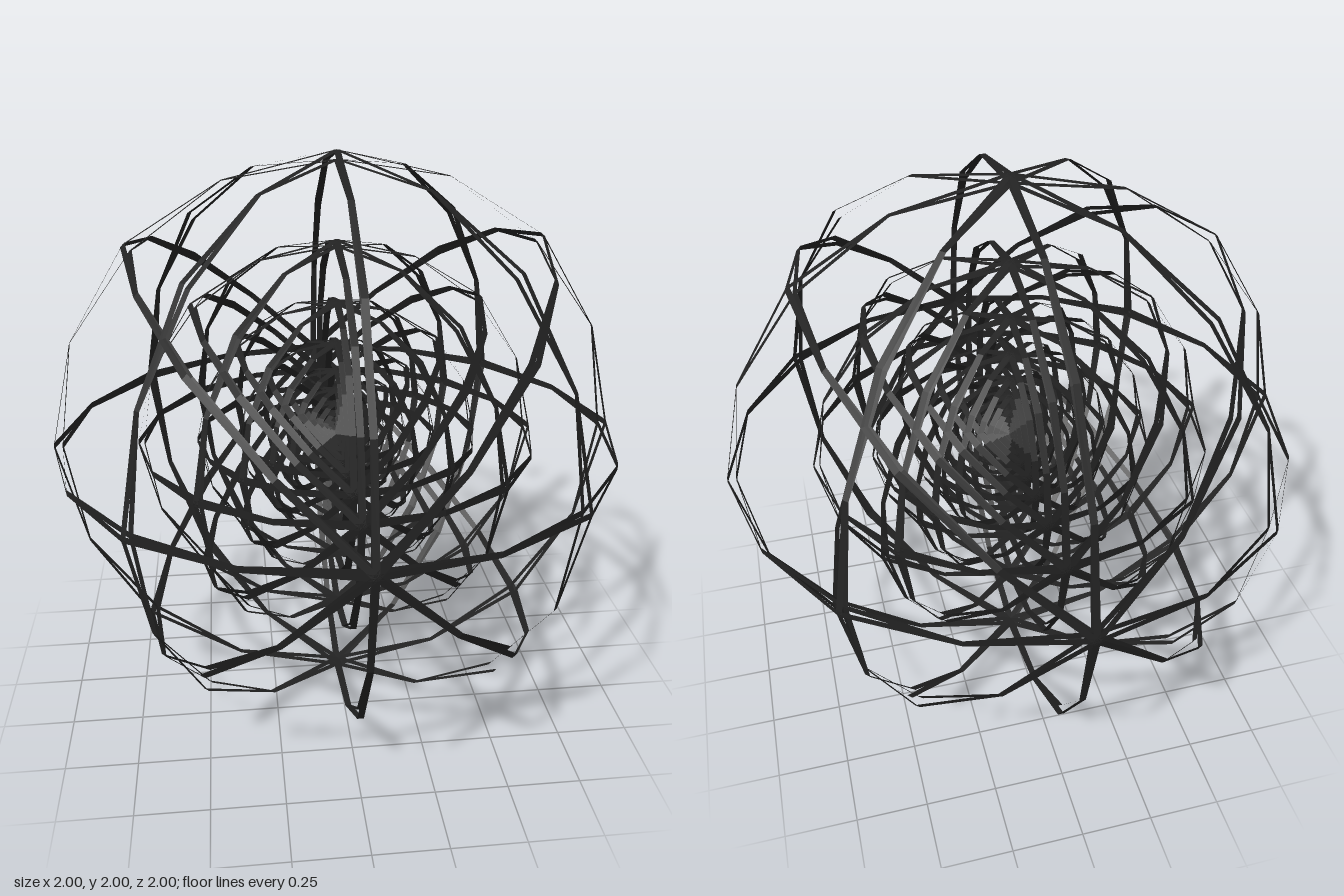
import * as THREE from 'three';

const SIDES = 16;
const WIDTH = 0.022;
const LEVELS = 12;

const material = new THREE.MeshStandardMaterial({
  color: 0x222222, flatShading: true, side: THREE.DoubleSide,
});

// Open hoop around y whose corners alternate between two radii
function hoop(evenRadius, oddRadius) {
  const geo = new THREE.CylinderGeometry(1, 1, WIDTH, SIDES, 1, true);
  const pos = geo.attributes.position;
  for (let i = 0; i < pos.count; i++) {
    const r = (i % (SIDES + 1)) % 2 ? oddRadius : evenRadius;
    pos.setXYZ(i, pos.getX(i) * r, pos.getY(i), pos.getZ(i) * r);
  }
  geo.computeVertexNormals();
  return geo;
}

export function createModel() {
  const model = new THREE.Group();
  model.name = 'nestedHoopSphere';

  // Each hoop is a pair of thin bands that touch at every second corner
  const outerBands = [], innerBands = [];
  for (let k = 0; k < LEVELS; k++) {
    const r = Math.pow(Math.SQRT1_2, k);
    outerBands.push(hoop(r, 0.985 * r));
    innerBands.push(hoop(0.97 * r, 0.985 * r));
  }

  // Planes of the concentric hoops, as turns of the horizontal plane
  const q = Math.PI / 2, e = Math.PI / 4;
  const planes = [
    ['horizontalHoops', 0, 0, 0],
    ['frontHoops', q, 0, 0],
    ['sideHoops', 0, 0, q],
    ['leftTiltedHoops', 0, 0, e],
    ['rightTiltedHoops', 0, 0, -e],
    ['leftDiagonalHoops', q, e, 0],
    ['rightDiagonalHoops', q, -e, 0],
  ];

  for (const [name, x, y, z] of planes) {
    const set = new THREE.Group();
    set.name = name;
    set.rotation.set(x, y, z, 'YXZ');
    set.position.y = 1;
    for (let k = 0; k < LEVELS; k++) {
      const outer = new THREE.Mesh(outerBands[k], material);
      outer.name = 'outerBand';
      const inner = new THREE.Mesh(innerBands[k], material);
      inner.name = 'innerBand';
      set.add(outer, inner);
    }
    model.add(set);
  }
  return model;
}
